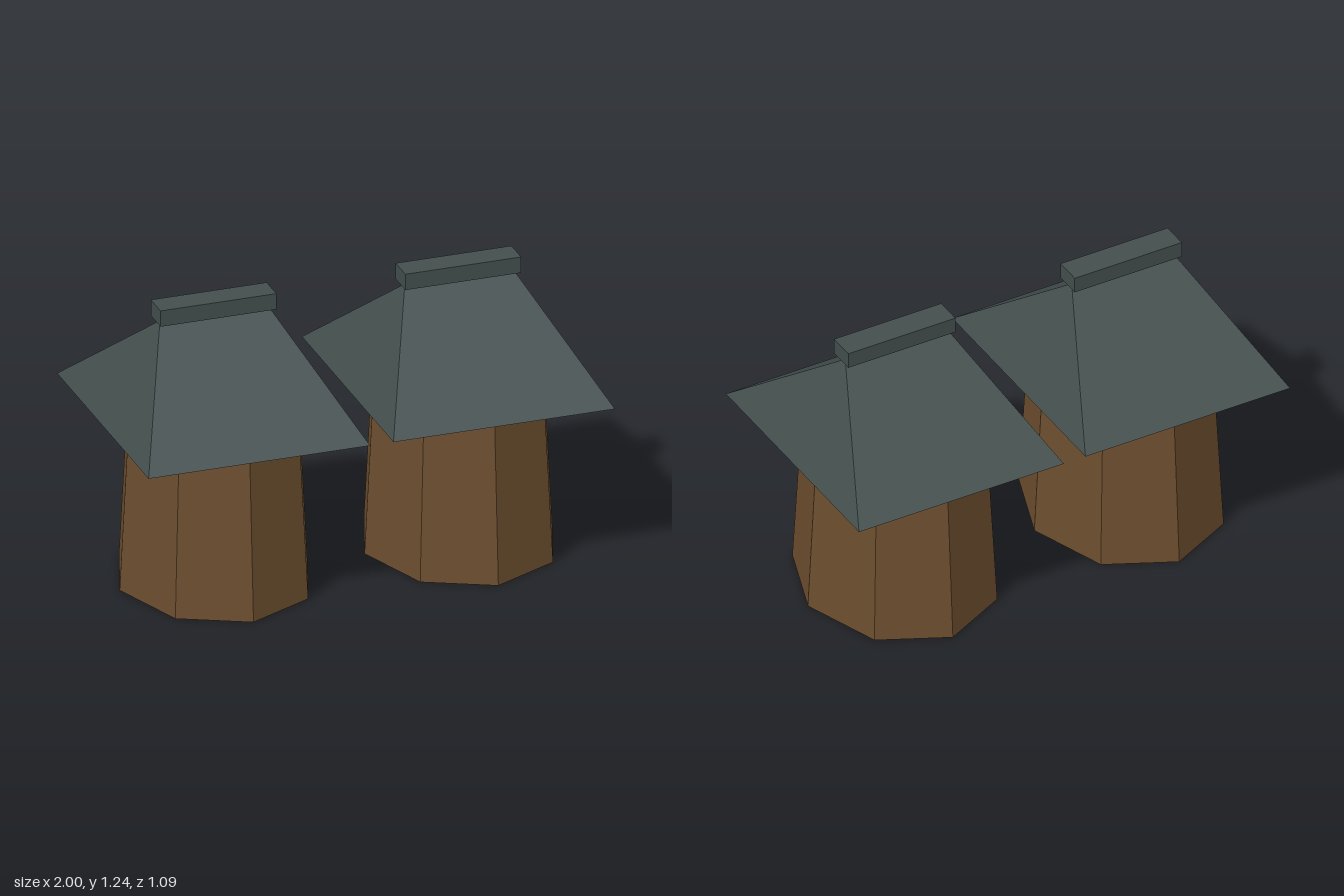
import * as THREE from 'three';

const wood = new THREE.MeshStandardMaterial({ color: 0x6b4d2e, flatShading: true, side: THREE.DoubleSide });
wood.name = 'brown wood';
const slate = new THREE.MeshStandardMaterial({ color: 0x424e4d, flatShading: true, side: THREE.DoubleSide });
slate.name = 'dark slate';

const EAVE = 0.74, RIDGE = 1.17;

function mesh(name, geometry, material, y = 0) {
  const m = new THREE.Mesh(geometry, material);
  m.name = name;
  m.position.y = y;
  return m;
}

// Open hip roof: four slopes rising from a rectangular eave to a ridge along x
function hipRoof(halfX, halfZ, halfRidge, height) {
  const corners = [
    [-halfX, 0, halfZ], [halfX, 0, halfZ], [halfX, 0, -halfZ], [-halfX, 0, -halfZ],
    [-halfRidge, height, 0], [halfRidge, height, 0],
  ];
  const g = new THREE.BufferGeometry();
  g.setAttribute('position', new THREE.Float32BufferAttribute(corners.flat(), 3));
  g.setIndex([0, 1, 5, 0, 5, 4, 2, 3, 4, 2, 4, 5, 1, 2, 5, 3, 0, 4]);
  const flat = g.toNonIndexed();
  flat.computeVertexNormals();
  return flat;
}

function hut(name, x) {
  const group = new THREE.Group();
  group.name = name;
  group.position.x = x;

  // Tapered eight-sided wall, open at both ends
  const wall = new THREE.CylinderGeometry(0.429, 0.475, EAVE, 8, 1, true);
  wall.scale(0.848, 1, 1);
  group.add(mesh('wall', wall, wood, EAVE / 2));

  group.add(mesh('roof', hipRoof(0.475, 0.545, 0.23, RIDGE - EAVE), slate, EAVE));
  group.add(mesh('ridgeCap', new THREE.BoxGeometry(0.497, 0.07, 0.116), slate, RIDGE + 0.035));
  return group;
}

export function createModel() {
  const model = new THREE.Group();
  model.name = 'twinHuts';
  model.add(hut('leftHut', 0.525), hut('rightHut', -0.525));
  return model;
}
